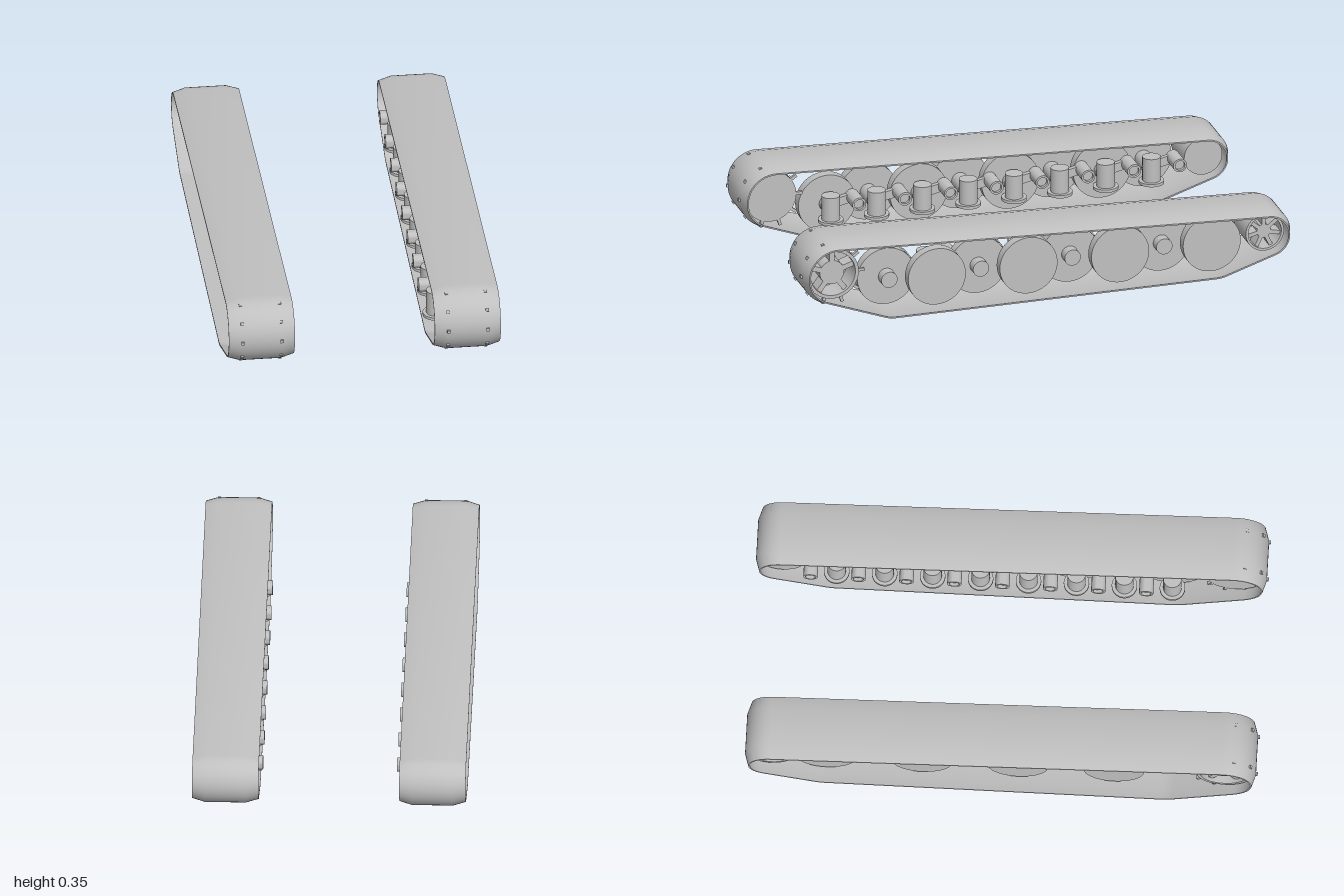
import * as THREE from 'three';
import { toCreasedNormals } from 'three/addons/utils/BufferGeometryUtils.js';

const steel = new THREE.MeshStandardMaterial({ color: 0xc0c0c0 });
steel.name = 'grey steel';

const MID = 0.405; // x of a track's centre line

function add(parent, name, geometry, x, y, z) {
  const mesh = new THREE.Mesh(geometry, steel);
  mesh.name = name;
  mesh.position.set(x, y, z);
  parent.add(mesh);
  return mesh;
}

// Cylinder lying along x, from x0 to x1 measured outwards on the given side
function axleCylinder(parent, name, side, r, x0, x1, y, z, segments = 40) {
  const m = add(parent, name, new THREE.CylinderGeometry(r, r, x1 - x0, segments), side * (x0 + x1) / 2, y, z);
  m.rotation.z = -side * Math.PI / 2;
  return m;
}

// Circles (z, y, radius) the track belt wraps around, counter-clockwise in the zy plane
const guides = [
  [0.87, 0.22, 0.13],
  [-0.9, 0.17, 0.1],
  [-0.684, 0.145, 0.143],
  [0.63, 0.145, 0.143],
];

// Directions around the belt: [guide index, angle]
function beltStations() {
  const n = guides.length;
  const exits = guides.map((a, i) => {
    const b = guides[(i + 1) % n];
    const dz = b[0] - a[0], dy = b[1] - a[1];
    return Math.atan2(dy, dz) - Math.acos((a[2] - b[2]) / Math.hypot(dz, dy));
  });
  const stations = [];
  guides.forEach((g, i) => {
    const start = exits[(i + n - 1) % n];
    let end = exits[i];
    while (end < start) end += 2 * Math.PI;
    while (end - start > 2 * Math.PI) end -= 2 * Math.PI;
    const steps = Math.max(4, Math.ceil((end - start) / 0.15));
    for (let k = 0; k <= steps; k++) stations.push([i, start + (end - start) * k / steps]);
  });
  return stations;
}

// Thin belt with sloped outer edges
function beltGeometry() {
  const section = [ // x, depth below the outer surface
    [-0.13, 0.015], [-0.08, 0], [0.08, 0], [0.13, 0.015],
    [0.13, 0.021], [0.08, 0.01], [-0.08, 0.01], [-0.13, 0.021],
  ];
  const stations = beltStations();
  const n = stations.length, m = section.length;
  const pos = [], index = [];
  for (const [g, a] of stations) {
    const [z, y, r] = guides[g];
    for (const [x, d] of section) pos.push(x, y + (r - d) * Math.sin(a), z + (r - d) * Math.cos(a));
  }
  for (let i = 0; i < n; i++) {
    for (let j = 0; j < m; j++) {
      const a = i * m + j, b = i * m + (j + 1) % m;
      const d = ((i + 1) % n) * m + j, c = ((i + 1) % n) * m + (j + 1) % m;
      index.push(a, b, c, a, c, d);
    }
  }
  const geo = new THREE.BufferGeometry();
  geo.setAttribute('position', new THREE.Float32BufferAttribute(pos, 3));
  geo.setIndex(index);
  return toCreasedNormals(geo, 0.4);
}

// Dished end wheel: closed inner face, open outer face with hub and spokes
function endWheel(parent, name, side, r, y, z, x0, x1, spokes, hubR) {
  const g = new THREE.Group();
  g.name = name;
  g.position.set(0, y, z);
  parent.add(g);
  const depth = x1 - x0, rim = r * 0.87;
  const profile = [[0, 0], [r, 0], [r, depth], [rim, depth], [rim, 0.07], [0, 0.07]];
  const dish = add(g, 'dish', toCreasedNormals(new THREE.LatheGeometry(
    profile.map(p => new THREE.Vector2(...p)), 40), 0.6), side * x0, 0, 0);
  dish.rotation.z = -side * Math.PI / 2;
  axleCylinder(g, 'hub', side, hubR, x0 + 0.06, x1 - 0.015, 0, 0, 24);
  for (let i = 0; i < spokes; i++) {
    const a = Math.PI / 2 + i * 2 * Math.PI / spokes;
    const len = rim + 0.005 - hubR * 0.8, c = hubR * 0.8 + len / 2;
    const s = add(g, 'spoke', new THREE.BoxGeometry(0.06, r * 0.2, len),
      side * (x1 - 0.045), c * Math.sin(a), c * Math.cos(a));
    s.rotation.x = -a;
  }
  return g;
}

// Two rings of drive teeth
function teeth(parent, side) {
  for (const x of [0.328, 0.482]) {
    for (let i = 0; i < 10; i++) {
      const a = i * Math.PI / 5;
      const t = add(parent, 'driveTooth', new THREE.BoxGeometry(0.012, 0.012, 0.04),
        side * x, 0.1115 * Math.sin(a), 0.1115 * Math.cos(a));
      t.rotation.x = -a;
    }
  }
}

// Spring post, base plate, swing arm and pivot tube for one road wheel
function suspension(parent, side, z) {
  const g = new THREE.Group();
  g.name = 'suspensionUnit';
  g.position.z = z;
  parent.add(g);
  add(g, 'springPost', new THREE.CylinderGeometry(0.036, 0.036, 0.1, 24), side * 0.318, 0.147, 0);
  add(g, 'basePlate', new THREE.CylinderGeometry(0.05, 0.05, 0.012, 28), side * 0.318, 0.092, 0);
  const tube = new THREE.LatheGeometry([[0.02, 0.02], [0.02, 0], [0.028, 0], [0.028, 0.1], [0, 0.1]]
    .map(p => new THREE.Vector2(...p)), 24);
  const pivot = add(g, 'pivotTube', toCreasedNormals(tube, 0.6), side * 0.262, 0.167, -0.1);
  pivot.rotation.z = -side * Math.PI / 2;
  axleCylinder(g, 'pivotCore', side, 0.0205, 0.275, 0.36, 0.167, -0.1, 20);
  const arm = add(g, 'swingArm', new THREE.BoxGeometry(0.02, 0.035, 0.11), side * 0.35, 0.156, -0.05);
  arm.rotation.x = 0.21;
}

function trackUnit(name, side) {
  const g = new THREE.Group();
  g.name = name;
  add(g, 'trackBelt', beltGeometry(), side * MID, 0, 0);

  // Drive sprocket at the front, idler at the rear
  const sprocket = endWheel(g, 'driveSprocket', side, 0.105, 0.22, 0.875, 0.32, 0.495, 5, 0.05);
  teeth(sprocket, side);
  endWheel(g, 'idlerWheel', side, 0.078, 0.172, -0.895, 0.315, 0.49, 7, 0.028);

  // Overlapping road wheels, alternating inner and outer rows
  for (let i = 0; i < 8; i++) {
    const z = 0.63 - i * 0.1877;
    const outer = i % 2 === 1;
    const x = outer ? 0.43 : 0.365;
    axleCylinder(g, outer ? 'outerRoadWheel' : 'innerRoadWheel', side, 0.118, x, x + 0.042, 0.145, z, 48);
    if (outer) axleCylinder(g, 'wheelAxle', side, 0.033, 0.34, 0.435, 0.145, z, 24);
    else axleCylinder(g, 'wheelHub', side, 0.033, 0.34, 0.45, 0.145, z, 24);
    suspension(g, side, z);
  }

  // Return skid under the upper run
  const skid = add(g, 'returnSkid', new THREE.BoxGeometry(0.03, 0.018, 0.5), side * MID, 0.262, -0.37);
  skid.rotation.x = -0.046;
  return g;
}

export function createModel() {
  const model = new THREE.Group();
  model.name = 'tracks';
  model.add(trackUnit('leftTrack', 1), trackUnit('rightTrack', -1));
  return model;
}
